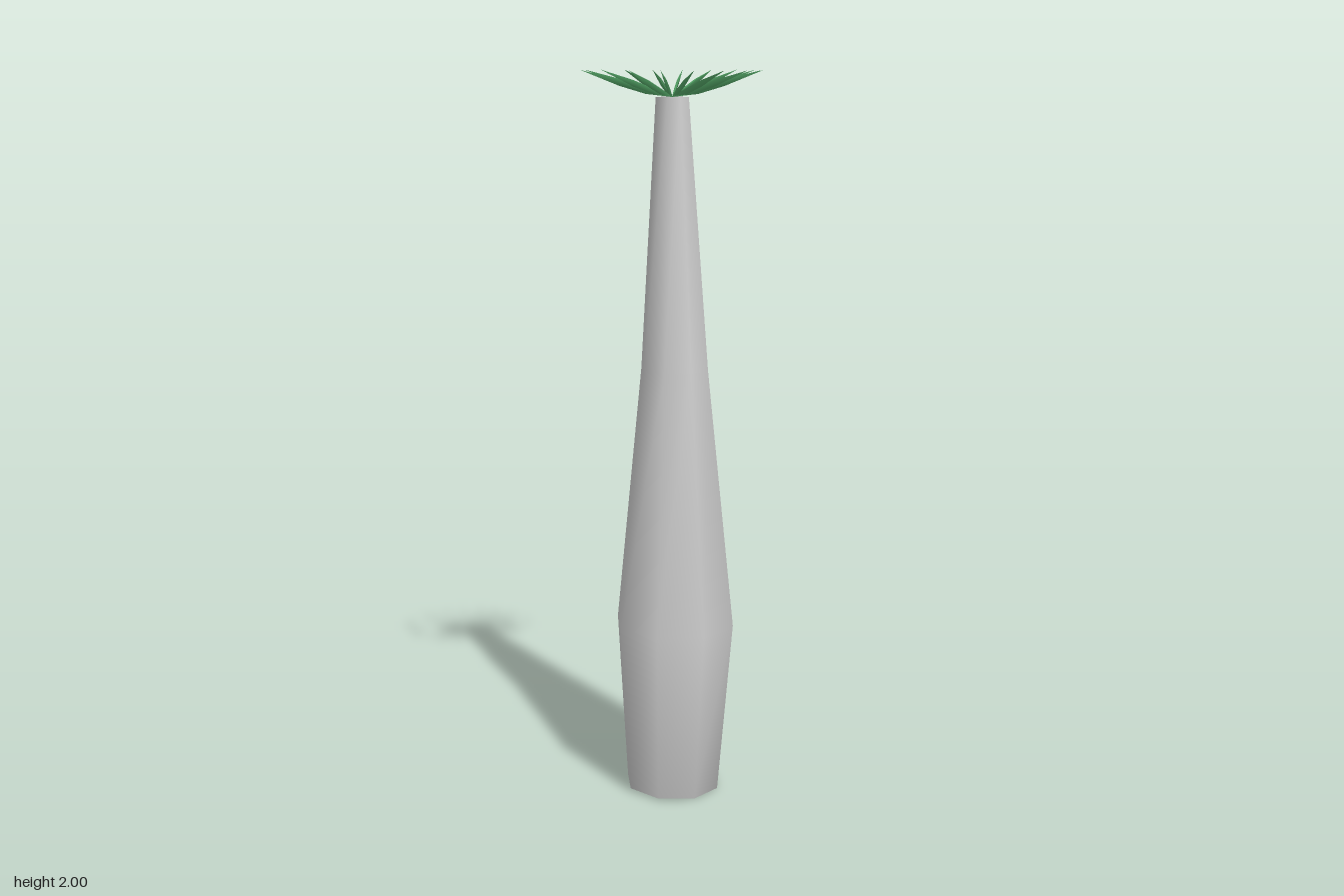
import * as THREE from 'three';

// Smooth eight-sided trunk, lofted through slightly wandering rings
function trunkGeometry() {
  const sides = 8;
  // [y, radius, centre x, centre z, tilt of y along x]
  const rings = [
    [0.006, 0.133, 0, 0, -0.04],
    [0.49, 0.168, 0.011, 0.011, 0],
    [1.2, 0.095, 0.005, -0.005, 0],
    [1.93, 0.046, 0, 0, 0],
  ];
  const pos = [], index = [];
  for (const [y, r, cx, cz, tilt] of rings) {
    for (let i = 0; i < sides; i++) {
      const a = (i / sides) * Math.PI * 2;
      const x = Math.sin(a) * r;
      pos.push(cx + x, y + tilt * x, cz + Math.cos(a) * r);
    }
  }
  const bottom = pos.length / 3, top = bottom + 1, last = (rings.length - 1) * sides;
  pos.push(0, 0.006, 0, 0, 1.93, 0);
  for (let i = 0; i < sides; i++) {
    const j = (i + 1) % sides;
    for (let k = 0; k < last; k += sides) {
      index.push(k + i, k + j, k + sides + j, k + i, k + sides + j, k + sides + i);
    }
    index.push(bottom, j, i, top, last + i, last + j); // end caps
  }
  const g = new THREE.BufferGeometry();
  g.setAttribute('position', new THREE.Float32BufferAttribute(pos, 3));
  g.setIndex(index);
  g.computeVertexNormals();
  return g;
}

// Narrow folded blade pointing along +x: a low spine with two raised edges
function leafGeometry() {
  const sections = [ // [distance, spine y, edge y, half width]
    [0, 1.93, 1.931, 0.0005],
    [0.07, 1.938, 1.953, 0.003],
    [0.14, 1.959, 1.975, 0.003],
    [0.242, 2, 2, 0.0002],
  ];
  const pos = [], index = [];
  for (const [d, spine, edge, w] of sections) pos.push(d, edge, w, d, spine, 0, d, edge, -w);
  for (let k = 0; k < (sections.length - 1) * 3; k += 3) {
    for (const s of [k, k + 1]) index.push(s, s + 3, s + 4, s, s + 4, s + 1);
  }
  const g = new THREE.BufferGeometry();
  g.setAttribute('position', new THREE.Float32BufferAttribute(pos, 3));
  g.setIndex(index);
  g.computeVertexNormals();
  return g;
}

export function createModel() {
  const model = new THREE.Group();
  model.name = 'bottleTree';

  const trunk = new THREE.Mesh(trunkGeometry(), new THREE.MeshStandardMaterial({ color: 0xcccccc }));
  trunk.name = 'trunk';
  model.add(trunk);

  // Crown of evenly spread leaves
  const crown = new THREE.Group();
  crown.name = 'crown';
  const green = new THREE.MeshStandardMaterial({ color: 0x55a868, side: THREE.DoubleSide });
  const leafShape = leafGeometry();
  const count = 18;
  for (let i = 0; i < count; i++) {
    const leaf = new THREE.Mesh(leafShape, green);
    leaf.name = 'leaf';
    leaf.rotation.y = (i / count) * Math.PI * 2;
    crown.add(leaf);
  }
  model.add(crown);
  return model;
}
